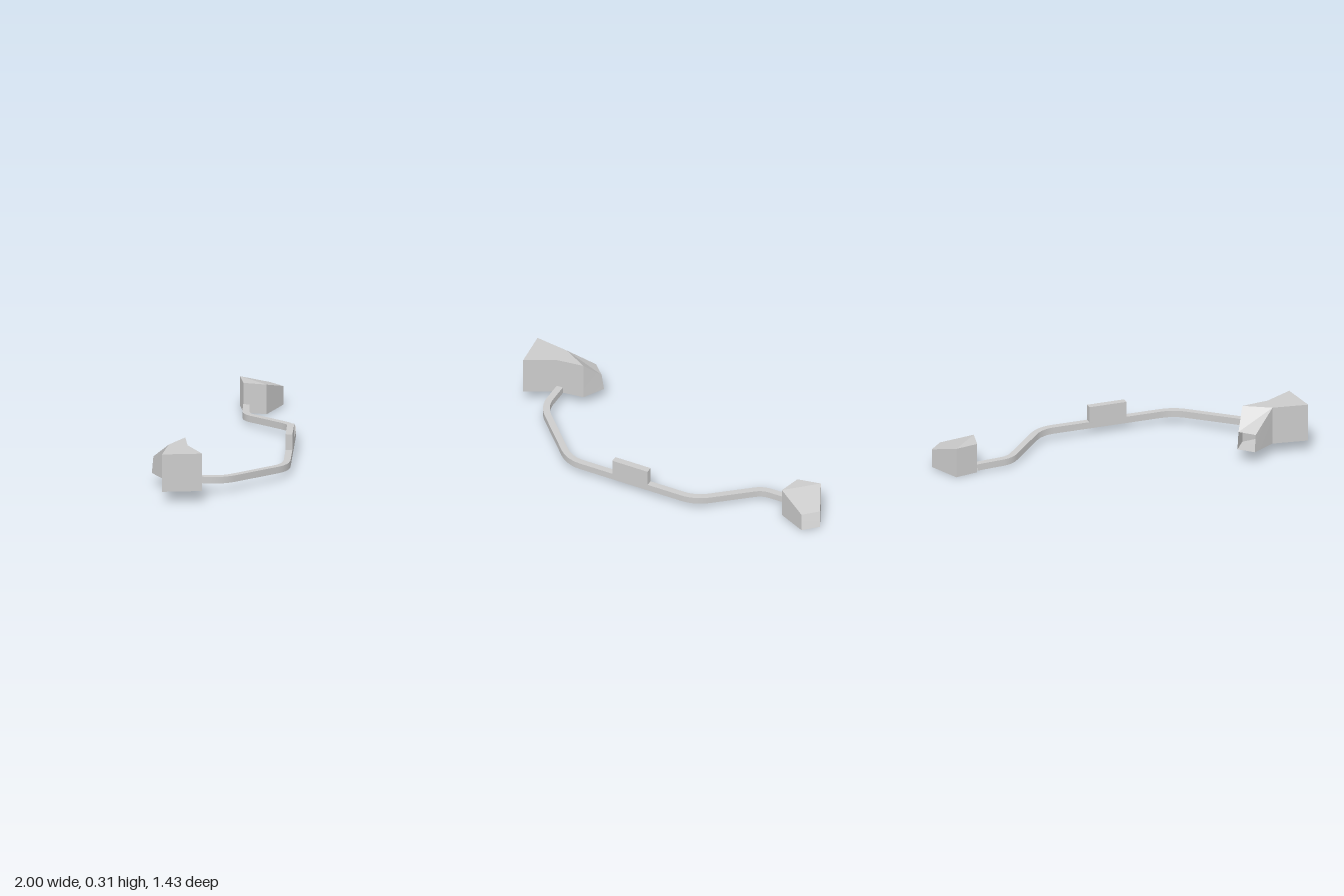
import * as THREE from 'three';
import { toCreasedNormals } from 'three/addons/utils/BufferGeometryUtils.js';

const WIDTH = 0.042, HEIGHT = 0.042;
const v = (x, y, z) => new THREE.Vector3(x, y, z);

// Mesh from a list of triangles and quads, corners counter-clockwise from outside
function facetMesh(name, faces, crease = 0.1) {
  const points = [];
  for (const [a, b, c, d] of faces) {
    points.push(a, b, c);
    if (d) points.push(a, c, d);
  }
  let geo = new THREE.BufferGeometry().setFromPoints(points);
  geo = toCreasedNormals(geo, crease);
  const mesh = new THREE.Mesh(geo, new THREE.MeshStandardMaterial({ color: 0xcccccc, side: THREE.DoubleSide }));
  mesh.name = name;
  return mesh;
}

// Rectangular corridor swept through corners [x, floor y, z, rounding distance]
function corridor(corners) {
  const p = corners.map(([x, y, z]) => v(x, y, z));
  const path = [p[0]];
  for (let i = 1; i < p.length - 1; i++) {
    const r = corners[i][3];
    const toward = (q) => p[i].clone().add(q.clone().sub(p[i]).setLength(r));
    path.push(...new THREE.QuadraticBezierCurve3(toward(p[i - 1]), p[i], toward(p[i + 1])).getPoints(6));
  }
  path.push(p[p.length - 1]);
  const rings = path.map((c, i) => {
    const before = path[Math.max(i - 1, 0)], after = path[Math.min(i + 1, path.length - 1)];
    // Average of the two neighbouring directions
    const t = v(0, 0, 0);
    if (i > 0) t.add(c.clone().sub(before).normalize());
    if (i < path.length - 1) t.add(after.clone().sub(c).normalize());
    const side = v(-t.z, 0, t.x).setLength(WIDTH / 2); // right of travel
    const l = c.clone().sub(side), r = c.clone().add(side), up = v(0, HEIGHT, 0);
    return [l, r, r.clone().add(up), l.clone().add(up)];
  });
  const faces = [];
  for (let i = 0; i < rings.length - 1; i++) {
    for (let k = 0; k < 4; k++) {
      const n = (k + 1) % 4;
      faces.push([rings[i][k], rings[i][n], rings[i + 1][n], rings[i + 1][k]]);
    }
  }
  return facetMesh('corridor', faces, 0.5);
}

// Hollow chamber: upright body whose mouth (last to first outline point) opens into a tapered spout
function chamber(name, outline, tip, floor, roof, tipFloor, tipRoof, lip = 0) {
  const low = outline.map(([x, z]) => v(x, floor, z));
  const high = outline.map(([x, z]) => v(x, roof, z));
  const tipLow = tip.map(([x, z]) => v(x, tipFloor, z));
  const tipHigh = tip.map(([x, z]) => v(x, tipRoof, z + lip));
  const faces = [];
  // Walls
  for (let i = 0; i < outline.length - 1; i++) {
    faces.push([low[i], low[i + 1], high[i + 1], high[i]]);
  }
  // Floor and roof
  const flat = outline.map(([x, z]) => new THREE.Vector2(x, -z));
  for (const [a, b, c] of THREE.ShapeUtils.triangulateShape(flat, [])) {
    faces.push([high[a], high[b], high[c]], [low[c], low[b], low[a]]);
  }
  // Spout, open at its end
  const e = outline.length - 1;
  faces.push(
    [low[e], tipLow[0], tipHigh[0], high[e]],
    [tipLow[1], low[0], high[0], tipHigh[1]],
    [high[0], high[e], tipHigh[0], tipHigh[1]],
    [low[e], low[0], tipLow[1], tipLow[0]],
  );
  return facetMesh(name, faces);
}

export function createModel() {
  const model = new THREE.Group();
  model.name = 'tunnelSystem';

  model.add(corridor([
    [-0.733, 0.07, 0.497],
    [-0.575, 0.063, 0.65, 0.09],
    [-0.045, 0.041, 0.65, 0.09],
    [0.578, 0.041, 0.027, 0.09],
    [0.578, 0.017, -0.41, 0.055],
    [0.733, 0.012, -0.578],
  ]));

  // Raised block on the long diagonal
  const block = new THREE.Mesh(
    new THREE.BoxGeometry(0.245, 0.1, WIDTH + 0.001),
    new THREE.MeshStandardMaterial({ color: 0xcccccc }),
  );
  block.name = 'raisedBlock';
  block.position.set(0.264, 0.133, 0.341);
  block.rotation.y = Math.PI / 4;
  model.add(block);

  // Large chamber with its spout to the back
  model.add(chamber('rightChamber',
    [[-0.82, 0.425], [-1, 0.56], [-0.803, 0.713], [-0.745, 0.515], [-0.638, 0.375]],
    [[-0.67, 0.232], [-0.787, 0.232]],
    0.07, 0.31, 0.08, 0.19, 0.015));

  // Small chamber with its spout to the side
  model.add(chamber('leftChamber',
    [[0.805, -0.715], [0.72, -0.59], [0.8, -0.465]],
    [[1, -0.53], [1, -0.65]],
    0, 0.19, 0.01, 0.128));

  return model;
}
